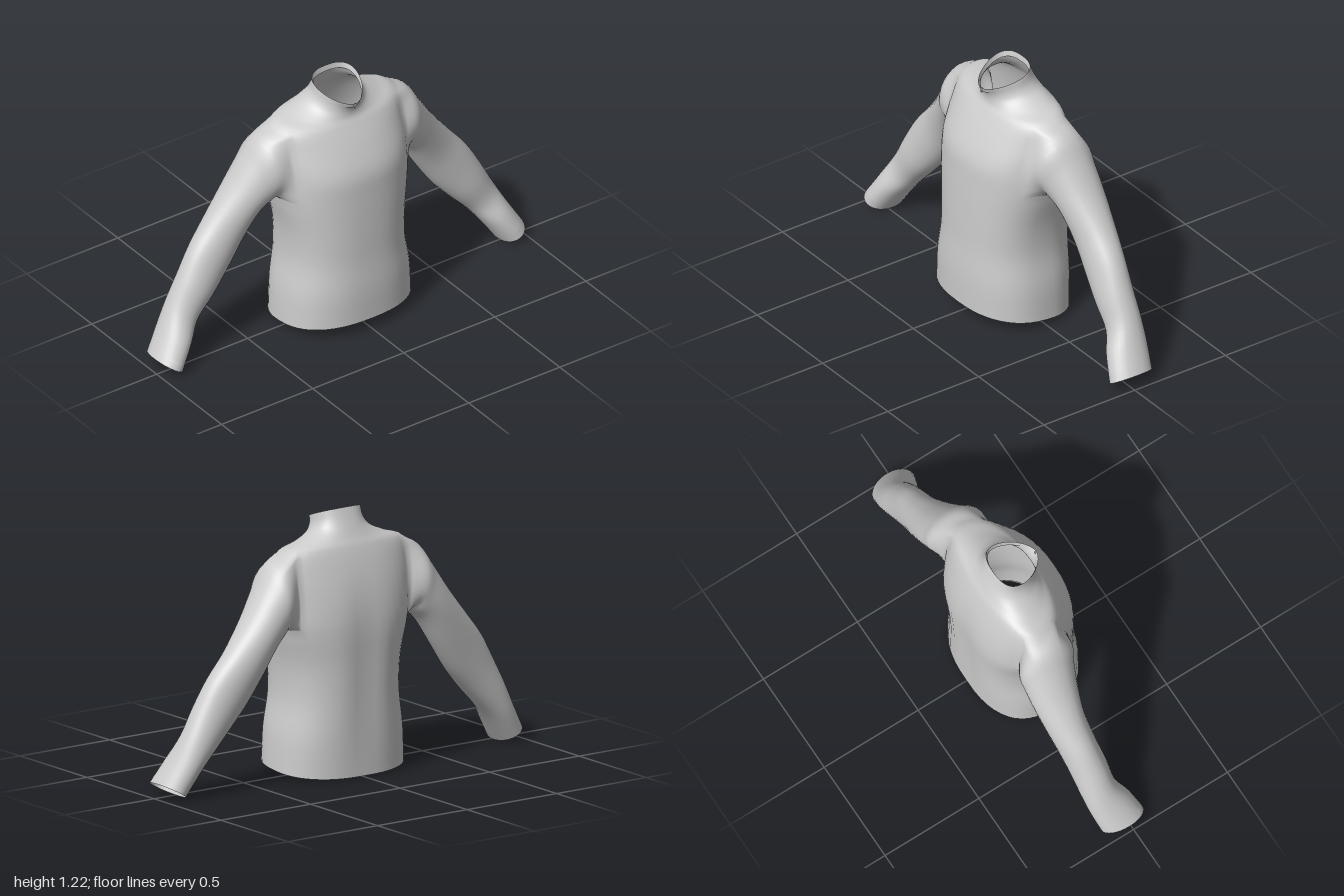
import * as THREE from 'three';

const COLS = 48;   // columns around the torso
const SUB = 4;     // steps between key sections
const HALF = 4;    // columns either side of the armhole centre
const ARM_LOW = 4, ARM_HIGH = 7; // key sections bounding the armholes

// Torso sections: height, half width, front z, back z, widest z, front and back squareness, tilt
const TORSO = [
  [0.035, 0.33, 0.26, -0.245, 0, 2.4, 2.4, 0.1],
  [0.2, 0.32, 0.26, -0.25, 0, 2.4, 2.4, 0.06],
  [0.36, 0.295, 0.25, -0.255, 0, 2.4, 2.4, 0.03],
  [0.52, 0.3, 0.245, -0.26, 0, 2.4, 2.4, 0],
  [0.7, 0.335, 0.237, -0.262, -0.03, 2.3, 2.4, 0],
  [0.82, 0.34, 0.225, -0.25, -0.05, 2.3, 2.3, 0],
  [0.94, 0.345, 0.17, -0.222, -0.06, 2.2, 2.2, 0],
  [1.035, 0.325, 0.12, -0.182, -0.06, 2.2, 2.2, -0.1],
  [1.07, 0.23, 0.102, -0.16, -0.05, 2, 2.1, -0.15],
  [1.105, 0.15, 0.1, -0.14, -0.03, 1.9, 2.2, -0.22],
  [1.14, 0.122, 0.108, -0.122, -0.02, 1.8, 2.4, -0.28],
  [1.185, 0.112, 0.13, -0.102, -0.02, 1.7, 2.6, -0.35],
];

// Sleeve rings: top x, top y, underside x, underside y, front z, back z
const SLEEVE = [
  [0.4, 1.0, 0.347, 0.69, 0.08, -0.2],
  [0.47, 0.9, 0.367, 0.675, 0.055, -0.2],
  [0.55, 0.78, 0.405, 0.64, 0.03, -0.198],
  [0.66, 0.64, 0.48, 0.52, 0.005, -0.185],
  [0.75, 0.53, 0.57, 0.385, 0.005, -0.17],
  [0.82, 0.41, 0.66, 0.28, 0.012, -0.16],
  [0.885, 0.285, 0.75, 0.185, 0.015, -0.155],
  [0.94, 0.18, 0.805, 0.115, 0.055, -0.148],
  [1.0, 0.075, 0.88, 0.003, 0.087, -0.13],
];

const material = new THREE.MeshStandardMaterial({ color: 0xcccccc, side: THREE.DoubleSide });
const power = (v, p) => Math.sign(v) * Math.pow(Math.abs(v), 2 / p);

function torsoPoint([y, hw, front, back, mid, pf, pb, tilt], angle) {
  const c = Math.cos(angle), s = Math.sin(angle);
  const p = s >= 0 ? pf : pb;
  const x = hw * power(c, p);
  let z = mid + power(s, p) * (s >= 0 ? front - mid : mid - back);
  // shallow groove down the spine
  if (s < 0) z += 0.016 * Math.exp(-((x / 0.07) ** 2)) * Math.max(0, Math.sin(Math.PI * y));
  return new THREE.Vector3(x, y + tilt * z, z);
}

function sleevePoint([tx, ty, bx, by, front, back], side, phi) {
  const s = Math.sin(phi), c = Math.cos(phi);
  return new THREE.Vector3(
    side * ((tx + bx) / 2 + s * (tx - bx) / 2),
    (ty + by) / 2 + s * (ty - by) / 2,
    (front + back) / 2 + c * (front - back) / 2);
}

function addQuad(list, a, b, c, d) {
  list.push(a, d, c, a, c, b);
}

// Turned-in edge that follows an opening
function facing(name, loop, depth, inset) {
  const n = loop.length;
  const centre = loop.reduce((sum, p) => sum.add(p), new THREE.Vector3()).divideScalar(n);
  const pos = [], index = [];
  for (const p of loop) pos.push(p.x, p.y, p.z);
  for (const p of loop) {
    const q = p.clone().lerp(centre, inset).add(depth);
    pos.push(q.x, q.y, q.z);
  }
  for (let i = 0; i < n; i++) addQuad(index, i, (i + 1) % n, n + (i + 1) % n, n + i);
  const geometry = new THREE.BufferGeometry();
  geometry.setAttribute('position', new THREE.Float32BufferAttribute(pos, 3));
  geometry.setIndex(index);
  geometry.computeVertexNormals();
  const mesh = new THREE.Mesh(geometry, material);
  mesh.name = name;
  return mesh;
}

export function createModel() {
  const group = new THREE.Group();
  group.name = 'pullover';
  const points = [];
  const parts = { torso: [], collar: [], leftSleeve: [], rightSleeve: [] };
  const rows = (TORSO.length - 1) * SUB;
  const id = (row, col) => row * COLS + (col + COLS) % COLS;

  // Torso and collar columns, smoothed through the key sections
  const columns = [];
  for (let k = 0; k < COLS; k++) {
    const angle = k / COLS * Math.PI * 2;
    columns.push(new THREE.CatmullRomCurve3(TORSO.map(section => torsoPoint(section, angle))));
  }
  for (let r = 0; r <= rows; r++) for (const curve of columns) points.push(curve.getPoint(r / rows));

  // Skin the torso, leaving the two armholes open
  const low = ARM_LOW * SUB, high = ARM_HIGH * SUB;
  for (let r = 0; r < rows; r++) {
    for (let k = 0; k < COLS; k++) {
      const fromSide = (k + HALF) % (COLS / 2);
      if (r >= low && r < high && fromSide < 2 * HALF) continue;
      const part = r < 9 * SUB ? parts.torso : parts.collar;
      addQuad(part, id(r, k), id(r, k + 1), id(r + 1, k + 1), id(r + 1, k));
    }
  }

  // Sleeves grow out of the armhole edges
  for (const side of [1, -1]) {
    const mid = side > 0 ? 0 : COLS / 2;
    const edge = [];
    for (let k = -HALF; k < HALF; k++) edge.push(id(low, mid + k));
    for (let r = low; r < high; r++) edge.push(id(r, mid + HALF));
    for (let k = HALF; k > -HALF; k--) edge.push(id(high, mid + k));
    for (let r = high; r > low; r--) edge.push(id(r, mid - HALF));

    const box = new THREE.Box3().setFromPoints(edge.map(i => points[i]));
    const centre = box.getCenter(new THREE.Vector3()), size = box.getSize(new THREE.Vector3());
    const curves = edge.map(i => {
      const p = points[i];
      const phi = Math.atan2((p.y - centre.y) / size.y, (p.z - centre.z) / size.z);
      return new THREE.CatmullRomCurve3([p, ...SLEEVE.map(ring => sleevePoint(ring, side, phi))]);
    });
    const name = side > 0 ? 'leftSleeve' : 'rightSleeve';
    const steps = SLEEVE.length * SUB, n = edge.length;
    let previous = edge;
    for (let s = 1; s <= steps; s++) {
      const ring = curves.map(curve => points.push(curve.getPoint(s / steps)) - 1);
      for (let i = 0; i < n; i++) {
        const j = (i + 1) % n;
        addQuad(parts[name], previous[i], previous[j], ring[j], ring[i]);
      }
      previous = ring;
    }
    group.add(facing(name + 'CuffFacing', previous.map(i => points[i]),
      new THREE.Vector3(-side * 0.02, 0.035, 0), 0.06));
  }

  // Shared normals keep the seams between parts smooth
  const whole = new THREE.BufferGeometry().setFromPoints(points);
  whole.setIndex(Object.values(parts).flat());
  whole.computeVertexNormals();
  for (const [name, index] of Object.entries(parts)) {
    const shared = new THREE.BufferGeometry();
    shared.setAttribute('position', whole.attributes.position);
    shared.setAttribute('normal', whole.attributes.normal);
    shared.setIndex(index);
    const mesh = new THREE.Mesh(shared.toNonIndexed(), material);
    mesh.name = name;
    group.add(mesh);
  }

  // Hem and collar facings
  group.add(facing('hemFacing', points.slice(0, COLS), new THREE.Vector3(0, 0.045, 0), 0.03));
  group.add(facing('collarFacing', points.slice(rows * COLS, (rows + 1) * COLS),
    new THREE.Vector3(0, -0.025, 0), 0.06));

  // Small zip pull at the throat
  const pull = new THREE.Mesh(new THREE.BoxGeometry(0.008, 0.026, 0.006), material);
  pull.name = 'zipPull';
  pull.position.set(0, 1.125, 0.124);
  group.add(pull);
  return group;
}
